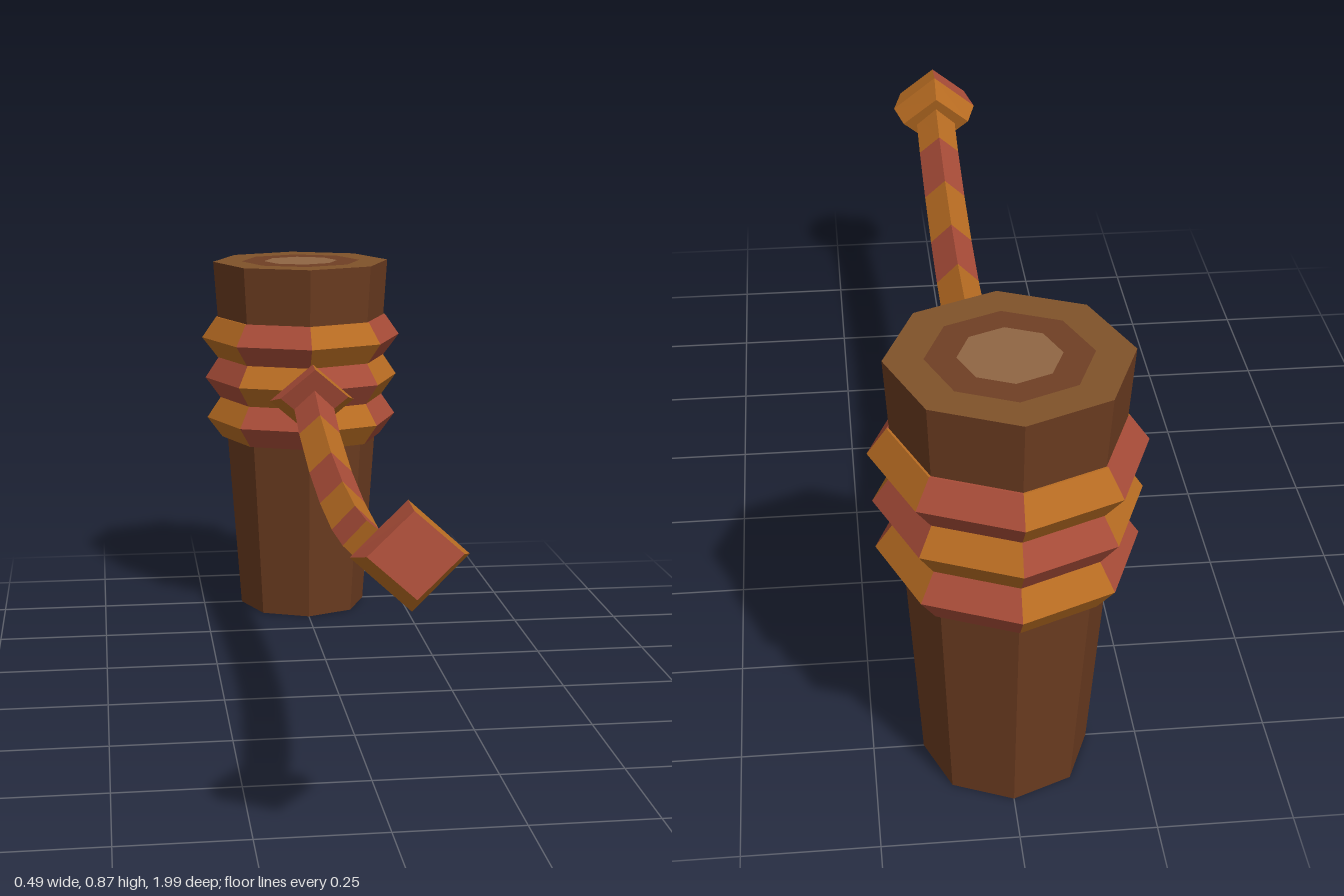
import * as THREE from 'three';

const ORANGE = 0xb86c22, RED = 0xa84c38, WOOD = 0x6b3b20;
const POST_Z = -0.75;

const material = (color) => new THREE.MeshStandardMaterial({ color, flatShading: true });

function add(parent, name, geometry, color) {
  const mesh = new THREE.Mesh(geometry, material(color));
  mesh.name = name;
  parent.add(mesh);
  return mesh;
}

// Diamond cross-section at a point in the x = 0 plane, square to the given tilt
function diamond(y, z, tilt, r, w = r) {
  const up = [Math.cos(tilt) * r, -Math.sin(tilt) * r];
  return [[0, y + up[0], z + up[1]], [w, y, z], [0, y - up[0], z - up[1]], [-w, y, z]];
}

// Chosen sides of a skin from ring a (smaller z) to ring b
function skin(a, b, sides = [0, 1, 2, 3]) {
  const p = [];
  for (const i of sides) {
    const j = (i + 1) % 4;
    p.push(...a[i], ...b[i], ...b[j], ...a[i], ...b[j], ...a[j]);
  }
  return fromTriangles(p);
}

function endCap(r, facesFront) {
  const order = facesFront ? [0, 3, 2, 0, 2, 1] : [0, 1, 2, 0, 2, 3];
  return fromTriangles(order.flatMap((i) => r[i]));
}

function fromTriangles(p) {
  const g = new THREE.BufferGeometry();
  g.setAttribute('position', new THREE.Float32BufferAttribute(p, 3));
  g.computeVertexNormals();
  return g;
}

// Faceted barrel knot; dir = 1 points to +z, -1 to -z
function knot(name, y, z, dir) {
  const group = new THREE.Group();
  group.name = name;
  const tilt = 0.26 * dir;
  const ring = (d, r, w) => diamond(y + Math.sin(tilt) * d * dir, z + Math.cos(tilt) * d, tilt, r, w);
  const back = ring(-0.06, 0.072, 0.08), middle = ring(0, 0.092, 0.1), front = ring(0.06, 0.072, 0.08);
  add(group, 'knotBackHalf', skin(back, middle), ORANGE);
  add(group, 'knotFrontHalf', skin(middle, front, [0, 1, 2]), ORANGE);
  add(group, 'knotRedFacet', skin(middle, front, [3]), RED);
  add(group, 'knotFrontEnd', endCap(front, true), RED);
  add(group, 'knotBackEnd', endCap(back, false), ORANGE);
  return group;
}

export function createModel() {
  const model = new THREE.Group();
  model.name = 'postWithRope';

  // Tapered eight-sided post
  const post = new THREE.Group();
  post.name = 'post';
  post.position.z = POST_Z;
  model.add(post);
  add(post, 'trunk', new THREE.CylinderGeometry(0.215, 0.155, 0.865, 8, 1, true), WOOD).position.y = 0.4325;
  add(post, 'trunkBase', new THREE.CircleGeometry(0.155, 8), WOOD).rotation.x = Math.PI / 2;

  // Growth rings on the cut top
  const rings = [['barkRing', 0.145, 0.215, 0x80522a], ['darkRing', 0.09, 0.145, 0x6f3f24], ['heartwood', 0, 0.09, 0x906644]];
  for (const [name, inner, outer, color] of rings) {
    const geometry = inner ? new THREE.RingGeometry(inner, outer, 8) : new THREE.CircleGeometry(outer, 8);
    const mesh = add(post, name, geometry, color);
    mesh.rotation.x = -Math.PI / 2;
    mesh.position.y = 0.865;
  }

  // Three rope coils, their facets alternating in colour
  [[0.43, 0.198, 0.235], [0.53, 0.202, 0.238], [0.63, 0.207, 0.245]].forEach(([y, edge, belly], row) => {
    const coil = new THREE.Group();
    coil.name = 'coil' + (row + 1);
    post.add(coil);
    const profile = [[0.15, 0], [edge, 0], [belly, 0.05], [edge + 0.003, 0.1], [0.15, 0.1]]
      .map(([r, h]) => new THREE.Vector2(r, y + h));
    for (let i = 0; i < 8; i++) {
      const geometry = new THREE.LatheGeometry(profile, 1, i * Math.PI / 4, Math.PI / 4);
      add(coil, 'coilFacet', geometry, (i + row) % 2 ? RED : ORANGE);
    }
  });

  // Sagging striped rope, given as z and y of its centre line
  const rope = new THREE.Group();
  rope.name = 'rope';
  model.add(rope);
  const path = [[-0.54, 0.575], [-0.36, 0.51], [-0.15, 0.465], [0.05, 0.443], [0.25, 0.437],
    [0.42, 0.448], [0.6, 0.472], [0.77, 0.508], [0.9, 0.553]];
  const sections = path.map(([z, y], i) => {
    const a = path[Math.max(i - 1, 0)], b = path[Math.min(i + 1, path.length - 1)];
    return diamond(y, z, Math.atan2(b[1] - a[1], b[0] - a[0]), 0.047);
  });
  for (let i = 0; i < sections.length - 1; i++) {
    add(rope, 'ropeStripe', skin(sections[i], sections[i + 1]), i % 2 ? ORANGE : RED);
  }

  // Knots at both ends
  model.add(knot('endKnot', 0.56, 0.92, 1), knot('postKnot', 0.56, -0.515, -1));
  return model;
}
